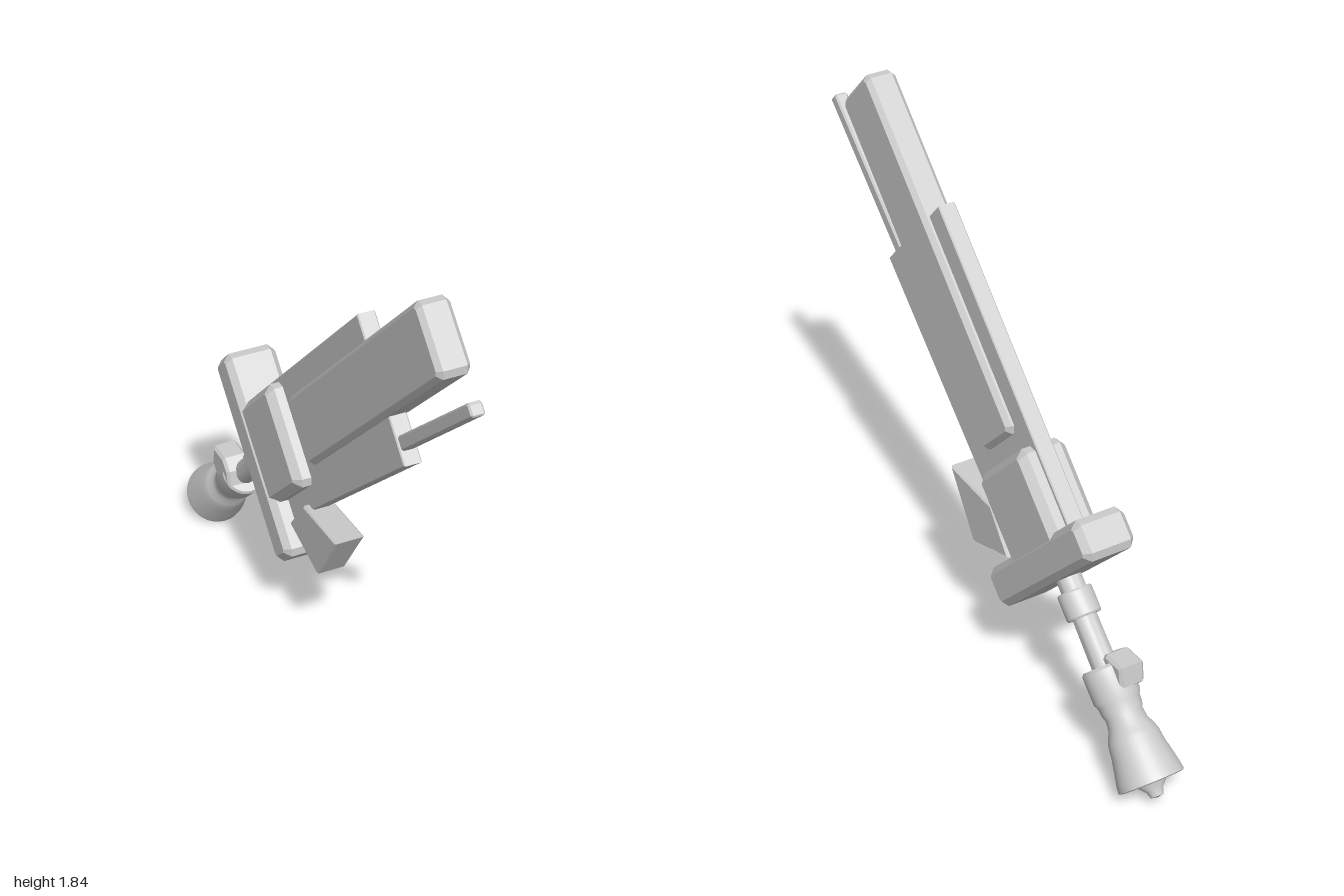
import * as THREE from 'three';
import { toCreasedNormals } from 'three/addons/utils/BufferGeometryUtils.js';

const AXIS = 0.71; // offset of the handle's centre line across the blade

export function createModel() {
  const model = new THREE.Group();
  model.name = 'sword';
  const steel = new THREE.MeshStandardMaterial({ color: 0xcccccc });
  steel.name = 'light grey steel';

  // Local frame: y runs along the blade, -z across it, x through its thickness
  const sword = new THREE.Group();
  sword.name = 'swordParts';
  sword.rotation.x = Math.PI / 4;
  model.add(sword);

  // Plate from an outline of [across, along] points, with bevelled rims
  function plate(name, points, thickness, bevel = 0, x = 0) {
    const shape = new THREE.Shape(points.map(([v, u]) => new THREE.Vector2(v, u)));
    const geometry = new THREE.ExtrudeGeometry(shape, {
      depth: thickness - 2 * bevel,
      bevelEnabled: bevel > 0,
      bevelThickness: bevel,
      bevelSize: bevel,
      bevelOffset: -bevel,
      bevelSegments: 1,
    });
    geometry.translate(0, 0, bevel - thickness / 2);
    geometry.rotateY(Math.PI / 2);
    const mesh = new THREE.Mesh(geometry, steel);
    mesh.name = name;
    mesh.position.x = x;
    sword.add(mesh);
  }

  // Rectangle with clipped corners
  const clipped = (v0, v1, u0, u1, c) => [
    [v0 + c, u0], [v1 - c, u0], [v1, u0 + c], [v1, u1 - c],
    [v1 - c, u1], [v0 + c, u1], [v0, u1 - c], [v0, u0 + c],
  ];
  // Side-on [z, y] positions to [across, along]
  const fromSide = (points) =>
    points.map(([z, y]) => [(y - z) * Math.SQRT1_2, (y + z) * Math.SQRT1_2]);

  // Blade
  plate('bladeCore', [[0.463, 0.2], [0.9, 0.2], [0.9, 1.312], [0.424, 1.302]], 0.06, 0.004);
  plate('bladeBar', clipped(0.58, 0.815, 0.57, 1.812, 0.02), 0.108, 0.016);
  plate('bladeSpike', [[0.472, 1.25], [0.52, 1.25], [0.492, 1.86], [0.482, 1.866], [0.452, 1.866], [0.448, 1.86]], 0.045, 0.006);
  plate('bladeBase', clipped(0.53, 0.885, 0.18, 0.508, 0.022), 0.174, 0.026);

  // Guard and the fin below it
  plate('guard', clipped(0.345, 1.062, 0.093, 0.228, 0.022), 0.185, 0.022);
  plate('guardFin', fromSide([[0.2, 0.643], [-0.05, 0.627], [-0.155, 0.487], [0.06, 0.423]]), 0.104, 0.006);

  // Turned handle with a hollow, flared pommel; [radius, along]
  const profile = [
    [0, -0.645], [0.022, -0.64], [0.028, -0.62], [0.055, -0.59], [0.06, -0.555],
    [0.088, -0.555], [0.1, -0.595], [0.11, -0.592], [0.108, -0.57], [0.09, -0.485],
    [0.085, -0.445], [0.078, -0.425], [0.066, -0.4], [0.062, -0.37], [0.068, -0.35],
    [0.07, -0.325], [0.078, -0.31], [0.079, -0.215], [0.072, -0.205], [0.042, -0.205],
    [0.04, -0.04], [0.054, -0.04], [0.058, -0.034], [0.058, 0.044], [0.054, 0.05],
    [0.042, 0.05], [0.042, 0.11],
  ].map(([r, u]) => new THREE.Vector2(r, u));
  const handle = new THREE.Mesh(
    toCreasedNormals(new THREE.LatheGeometry(profile, 32), Math.PI / 6), steel);
  handle.name = 'handle';
  handle.position.z = -AXIS;
  sword.add(handle);

  // Thumb block on the handle
  plate('thumbBlock', fromSide([
    [-0.63, 0.385], [-0.67, 0.42], [-0.755, 0.42], [-0.765, 0.35], [-0.7, 0.28], [-0.62, 0.33],
  ]), 0.09, 0.01, -0.03);

  // The whole sword is turned slightly to one side
  model.rotation.y = 0.1;
  model.position.x = 0.03;
  const root = new THREE.Group();
  root.name = 'swordRoot';
  root.add(model);
  return root;
}
